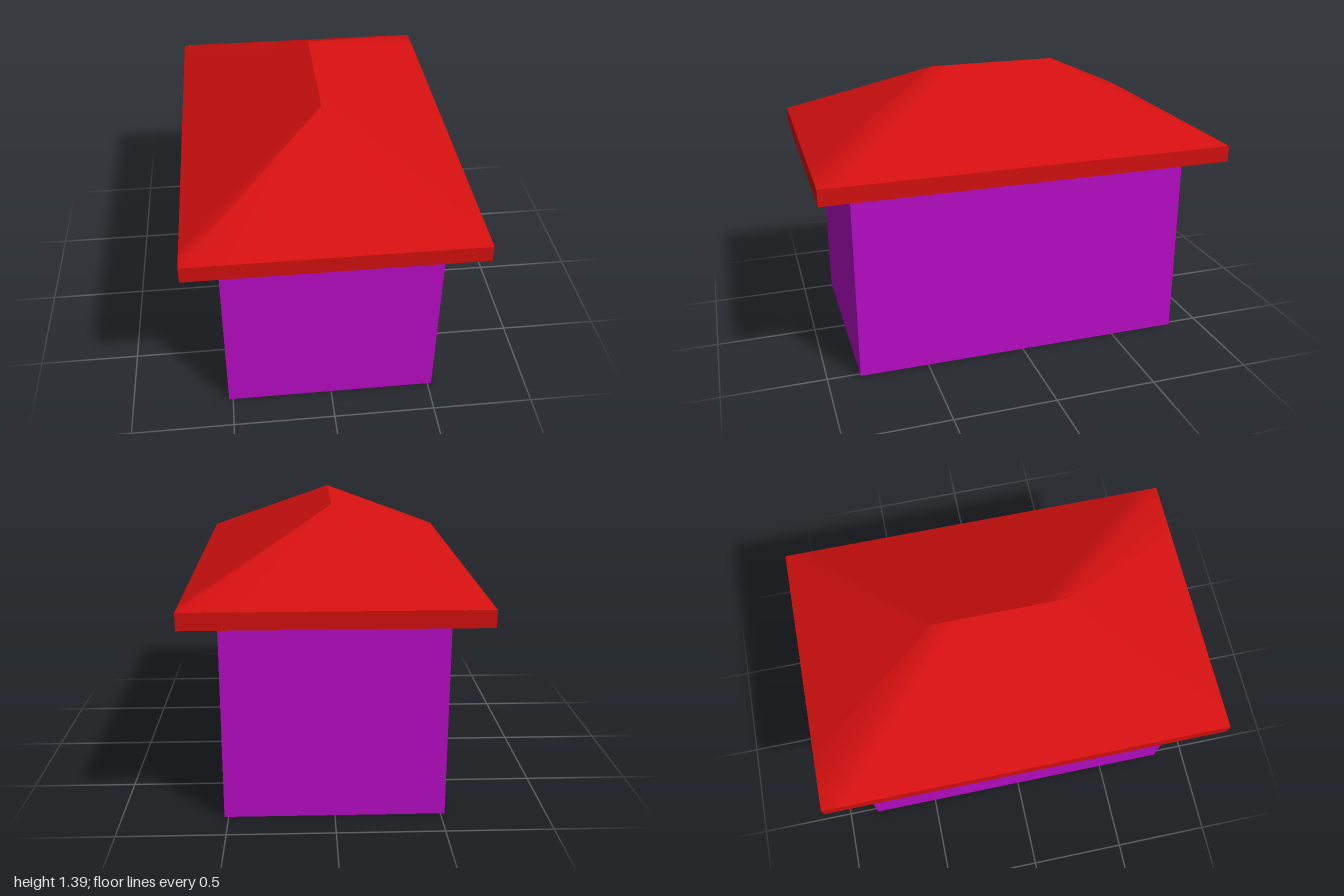
import * as THREE from 'three';

const HALF_W = 0.68, HALF_D = 1, EAVE_Y = 1.05, RIDGE_Y = 1.39, RIDGE_Z = 0.32;

// Hipped roof shell: one eave loop lofted to the ridge, with hips softened by
// shared normals. The ridge stays sharp because each side has its own top points.
function hippedRoofGeometry() {
  const half = [];
  for (const x of [-HALF_W, -0.4, 0, 0.4]) half.push([x, HALF_D, RIDGE_Z]);
  const side = [[1, RIDGE_Z], [0.88, 0.2], [-0.88, -0.2]];
  for (const [z, top] of side) half.push([HALF_W, z, top]);

  // The second half of the loop is the first turned by 180 degrees
  const columns = [...half, ...half.map(([x, z, top]) => [-x, -z, -top])];
  const positions = [], index = [];
  columns.forEach(([x, z, top], i) => {
    positions.push(x, EAVE_Y, z, 0, RIDGE_Y, top);
    const next = (i + 1) % columns.length;
    const a = i * 2, b = next * 2;
    index.push(a, b, b + 1);
    if (columns[next][2] !== top) index.push(a, b + 1, a + 1);
  });
  const geometry = new THREE.BufferGeometry();
  geometry.setAttribute('position', new THREE.Float32BufferAttribute(positions, 3));
  geometry.setIndex(index);
  geometry.computeVertexNormals();
  return geometry;
}

export function createModel() {
  const model = new THREE.Group();
  model.name = 'house';
  const wallPurple = new THREE.MeshStandardMaterial({ color: 0xb90dc6 });
  wallPurple.name = 'wall purple';
  const roofRed = new THREE.MeshStandardMaterial({ color: 0xd51010 });
  roofRed.name = 'roof red';

  const add = (name, geometry, material, y = 0) => {
    const mesh = new THREE.Mesh(geometry, material);
    mesh.name = name;
    mesh.position.y = y;
    model.add(mesh);
  };

  // Walls
  add('walls', new THREE.BoxGeometry(1.04, 0.98, 1.68), wallPurple, 0.49);
  // Overhanging eave slab and the roof above it
  add('eaves', new THREE.BoxGeometry(HALF_W * 2, 0.08, HALF_D * 2), roofRed, 1.01);
  add('roof', hippedRoofGeometry(), roofRed);
  return model;
}
